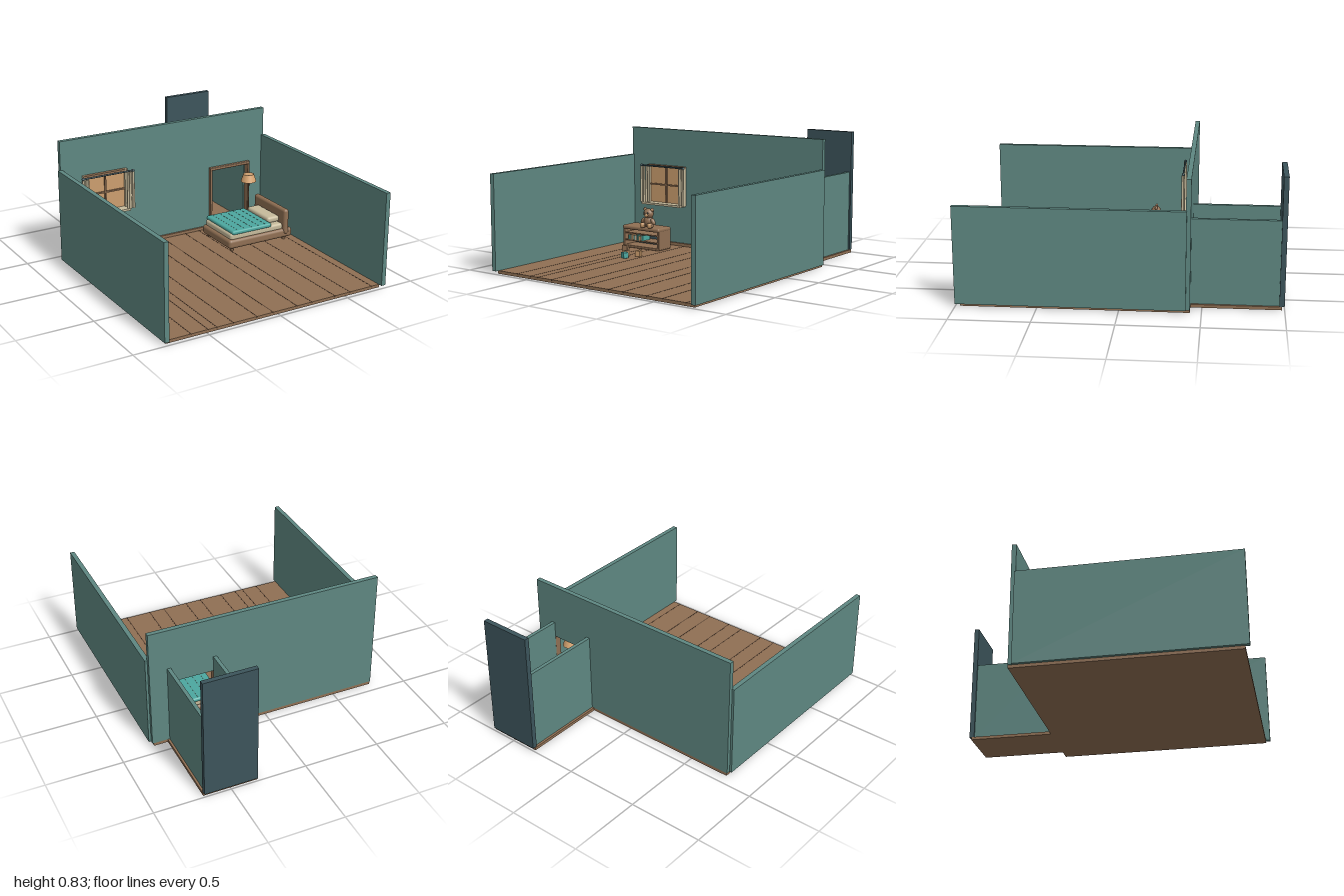
import * as THREE from 'three';
import { RoundedBoxGeometry } from 'three/addons/geometries/RoundedBoxGeometry.js';

const paint = (name, color, side = THREE.FrontSide) => {
  const m = new THREE.MeshStandardMaterial({ color, side });
  m.name = name;
  return m;
};

export function createModel() {
  const root = new THREE.Group();
  root.name = 'bedroom';
  const teal = paint('wall teal', 0x5e8781);
  const slate = paint('dark slate', 0x3c545b);
  const wood = paint('wood brown', 0x8f6f53);
  const groove = paint('groove brown', 0x503c2e);
  const tan = paint('warm tan', 0xcc9e6e);
  const cream = paint('cream', 0xc6ba9b);
  const aqua = paint('turquoise', 0x4ca79f);
  const shadeTan = paint('lamp shade tan', 0xd9a672, THREE.DoubleSide);

  const group = (name, parent = root) => {
    const g = new THREE.Group();
    g.name = name;
    parent.add(g);
    return g;
  };
  const add = (parent, name, geo, mat, x = 0, y = 0, z = 0) => {
    const m = new THREE.Mesh(geo, mat);
    m.name = name;
    m.position.set(x, y, z);
    parent.add(m);
    return m;
  };
  // Box given by its limits, optionally with rounded edges
  const box = (p, name, mat, x0, x1, y0, y1, z0, z1, r = 0) => {
    const s = [x1 - x0, y1 - y0, z1 - z0];
    const geo = r ? new RoundedBoxGeometry(...s, 4, r) : new THREE.BoxGeometry(...s);
    return add(p, name, geo, mat, (x0 + x1) / 2, (y0 + y1) / 2, (z0 + z1) / 2);
  };
  const ball = (p, name, mat, x, y, z, rx, ry = rx, rz = rx) => {
    const m = add(p, name, new THREE.SphereGeometry(1, 20, 14), mat, x, y, z);
    m.scale.set(rx, ry, rz);
    return m;
  };

  // Floors with plank grooves
  const floor = group('floor');
  box(floor, 'roomFloor', wood, -0.775, 0.77, 0, 0.02, -0.43, 0.972);
  box(floor, 'hallFloor', wood, 0.32, 0.678, 0, 0.02, -0.985, -0.43);
  for (const x of [-0.605, -0.49, -0.43, -0.315, -0.15, -0.035, 0.14, 0.25, 0.425, 0.54, 0.71])
    box(floor, 'plankGroove', groove, x - 0.003, x + 0.003, 0.012, 0.0208, -0.39, 0.9725);
  box(floor, 'hallLightLine', cream, 0.36, 0.64, 0.019, 0.022, -0.846, -0.838);

  // Walls; the back one is notched for the doorway
  const walls = group('walls');
  for (const s of [-1, 1]) {
    const x = s * 0.78;
    box(walls, 'sideWall', teal, x - 0.015, x + 0.015, 0.02, 0.64, -0.405, 1);
  }
  const outline = [[-0.78, 0.02], [0.35, 0.02], [0.35, 0.455], [0.65, 0.455], [0.65, 0.02],
    [0.78, 0.02], [0.78, 0.835], [-0.78, 0.835]].map(([x, y]) => new THREE.Vector2(x, y));
  add(walls, 'backWall', new THREE.ExtrudeGeometry(new THREE.Shape(outline),
    { depth: 0.03, bevelEnabled: false }), teal, 0, 0, -0.43);
  for (const x of [0.348, 0.652])
    box(walls, 'hallWall', teal, x - 0.012, x + 0.012, 0.02, 0.56, -0.968, -0.43);
  box(walls, 'hallEndWall', slate, 0.325, 0.675, 0.02, 0.835, -1, -0.968);

  // Baseboards and door trim
  const trim = group('doorAndTrim');
  box(trim, 'baseboardLeft', wood, -0.765, 0.34, 0.02, 0.04, -0.4, -0.386);
  box(trim, 'baseboardRight', wood, 0.66, 0.765, 0.02, 0.04, -0.4, -0.386);
  box(trim, 'threshold', wood, 0.35, 0.65, 0.02, 0.038, -0.425, -0.388);
  for (const x of [0.347, 0.653])
    box(trim, 'doorPost', wood, x - 0.008, x + 0.008, 0.02, 0.45, -0.425, -0.38, 0.003);
  box(trim, 'doorHeader', wood, 0.337, 0.661, 0.447, 0.468, -0.42, -0.378, 0.005);

  // Window with frame, bars, rod and curtains
  const win = group('window');
  box(win, 'windowPane', tan, -0.615, -0.322, 0.315, 0.572, -0.4, -0.392);
  for (const x of [-0.62, -0.317])
    box(win, 'windowJamb', cream, x - 0.01, x + 0.01, 0.305, 0.58, -0.4, -0.374);
  box(win, 'windowHead', wood, -0.63, -0.307, 0.568, 0.58, -0.4, -0.374);
  box(win, 'windowSill', cream, -0.65, -0.31, 0.3, 0.314, -0.4, -0.33);
  box(win, 'verticalBar', wood, -0.474, -0.464, 0.314, 0.57, -0.393, -0.38);
  box(win, 'horizontalBar', wood, -0.612, -0.325, 0.437, 0.447, -0.393, -0.38);
  const rod = add(win, 'curtainRod', new THREE.CylinderGeometry(0.006, 0.006, 0.36, 12), slate, -0.468, 0.576, -0.338);
  rod.rotation.z = Math.PI / 2;
  for (const s of [-1, 1]) {
    ball(win, 'rodFinial', slate, -0.468 + s * 0.182, 0.576, -0.338, 0.01);
    for (let i = 0; i < 4; i++)
      add(win, 'curtainFold', new THREE.CylinderGeometry(0.007, 0.0085, 0.255, 10), cream,
        -0.468 + s * (0.145 + i * 0.0125), 0.442, -0.342 + (i % 2) * 0.008);
  }

  // Bookcase with three shelves
  const shelf = group('bookcase');
  box(shelf, 'bookcaseTop', wood, -0.662, -0.343, 0.147, 0.175, -0.275, -0.133, 0.012);
  box(shelf, 'bookcaseBase', wood, -0.658, -0.347, 0.02, 0.037, -0.272, -0.137, 0.005);
  for (const x of [-0.652, -0.353])
    box(shelf, 'bookcaseSide', wood, x - 0.008, x + 0.008, 0.025, 0.165, -0.272, -0.138, 0.004);
  box(shelf, 'bookcaseBack', slate, -0.65, -0.355, 0.03, 0.16, -0.27, -0.255);
  for (const y of [0.071, 0.121])
    box(shelf, 'shelfBoard', wood, -0.647, -0.358, y - 0.004, y + 0.004, -0.26, -0.145);
  const bookColors = [aqua, cream, tan, teal, cream, aqua, tan, wood, aqua];
  bookColors.forEach((mat, i) => {
    const x = -0.62 + i * 0.0145;
    box(shelf, 'book', mat, x, x + 0.012, 0.075, 0.106 + (i % 3) * 0.003, -0.23, -0.15);
  });

  // Sitting teddy bear
  const bear = group('teddyBear');
  bear.position.set(-0.44, 0.175, -0.15);
  ball(bear, 'body', wood, 0, 0.042, 0, 0.036, 0.042, 0.032);
  ball(bear, 'head', wood, 0, 0.098, 0.003, 0.038, 0.034, 0.032);
  ball(bear, 'muzzle', tan, 0, 0.09, 0.032, 0.016, 0.012, 0.01);
  ball(bear, 'nose', slate, 0, 0.095, 0.041, 0.005, 0.004, 0.003);
  for (const s of [-1, 1]) {
    ball(bear, 'ear', wood, s * 0.031, 0.125, 0, 0.014, 0.014, 0.009);
    ball(bear, 'innerEar', tan, s * 0.031, 0.125, 0.006, 0.008, 0.008, 0.005);
    ball(bear, 'eye', slate, s * 0.014, 0.105, 0.031, 0.0045);
    ball(bear, 'arm', wood, s * 0.043, 0.046, 0.008, 0.014, 0.027, 0.015).rotation.z = s * 0.6;
    ball(bear, 'leg', wood, s * 0.03, 0.018, 0.02, 0.019, 0.018, 0.026);
    ball(bear, 'footPad', tan, s * 0.031, 0.019, 0.037, 0.018, 0.019, 0.012);
  }

  // Toy blocks
  const blocks = group('toyBlocks');
  [['tanStackedBlock', tan, -0.415, 0.04, 0.13, 0.12], ['brownBlock', wood, -0.418, 0.08, 0.13, 0.3],
    ['tanBlock', tan, -0.348, 0.04, 0.08, 0.2], ['turquoiseBlock', aqua, -0.385, 0.04, 0.18, -0.4]]
    .forEach(([name, mat, x, y, z, turn]) => {
      add(blocks, name, new RoundedBoxGeometry(0.038, 0.039, 0.038, 2, 0.003), mat, x, y, z).rotation.y = turn;
    });

  // Bed with its head towards the right wall
  const bed = group('bed');
  box(bed, 'bedFrame', wood, 0.222, 0.728, 0.04, 0.105, -0.3, 0.065, 0.022);
  for (const x of [0.26, 0.68])
    for (const z of [-0.26, 0.03])
      add(bed, 'bedFoot', new THREE.CylinderGeometry(0.015, 0.012, 0.03, 12), wood, x, 0.035, z);
  box(bed, 'mattress', cream, 0.24, 0.66, 0.095, 0.144, -0.285, 0.05, 0.018);
  box(bed, 'blanket', aqua, 0.252, 0.565, 0.134, 0.164, -0.295, 0.056, 0.013);
  for (let i = 0; i < 5; i++)
    box(bed, 'blanketSeam', teal, 0.295 + i * 0.055, 0.298 + i * 0.055, 0.16, 0.165, -0.28, 0.042);
  box(bed, 'pillow', cream, 0.563, 0.66, 0.142, 0.185, -0.255, 0.008, 0.018);
  box(bed, 'headboard', wood, 0.656, 0.696, 0.065, 0.245, -0.312, 0.072, 0.018);

  // Floor lamp
  const lamp = group('floorLamp');
  lamp.position.set(0.612, 0, -0.318);
  add(lamp, 'lampBase', new THREE.CylinderGeometry(0.035, 0.04, 0.012, 24), wood, 0, 0.026, 0);
  add(lamp, 'lampPole', new THREE.CylinderGeometry(0.004, 0.004, 0.35, 10), wood, 0, 0.2, 0);
  add(lamp, 'lampShade', new THREE.CylinderGeometry(0.037, 0.054, 0.052, 24, 1, true), shadeTan, 0, 0.372, 0);
  add(lamp, 'lampShadeTop', new THREE.CylinderGeometry(0.036, 0.036, 0.004, 24), tan, 0, 0.395, 0);
  return root;
}
